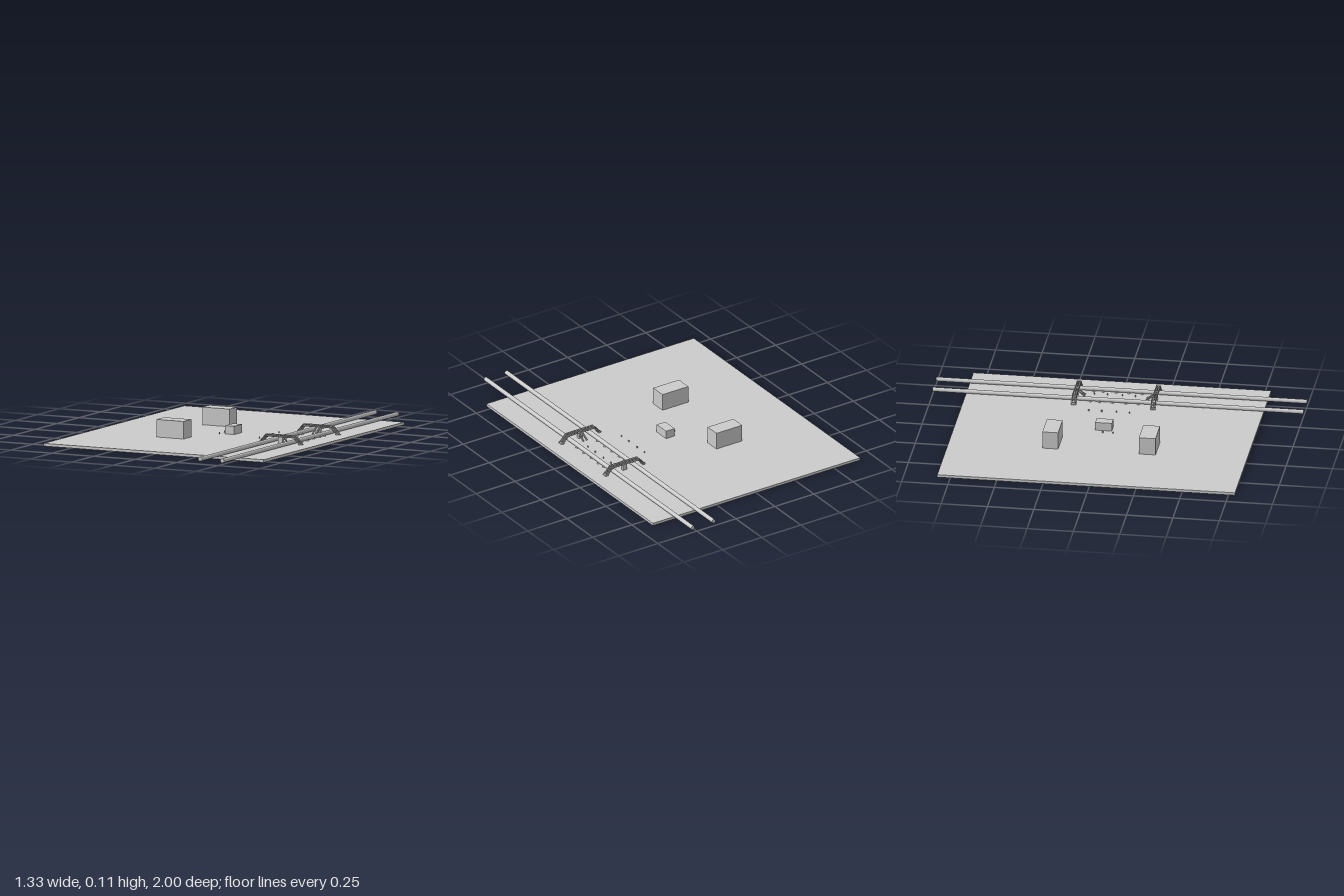
import * as THREE from 'three';

const material = new THREE.MeshStandardMaterial({ color: 0xcccccc, flatShading: true });
const smooth = new THREE.MeshStandardMaterial({ color: 0xcccccc });
const GROUND = 0.015;

function add(parent, name, geometry, x, y, z, mat = material) {
  const mesh = new THREE.Mesh(geometry, mat);
  mesh.name = name;
  mesh.position.set(x, y, z);
  parent.add(mesh);
  return mesh;
}

// Box given by its x, y and z limits
function block(parent, name, [x0, x1], [y0, y1], [z0, z1]) {
  return add(parent, name, new THREE.BoxGeometry(x1 - x0, y1 - y0, z1 - z0),
    (x0 + x1) / 2, (y0 + y1) / 2, (z0 + z1) / 2);
}

// Straight round bar between two points
function bar(parent, name, a, b, radius) {
  const dir = b.clone().sub(a);
  const mid = a.clone().add(b).multiplyScalar(0.5);
  const mesh = add(parent, name, new THREE.CylinderGeometry(radius, radius, dir.length(), 6), mid.x, mid.y, mid.z);
  mesh.quaternion.setFromUnitVectors(new THREE.Vector3(0, 1, 0), dir.normalize());
  return mesh;
}

// Lattice arch spanning both pipes: four chords joined by rungs and diagonals
function createArch(z) {
  const arch = new THREE.Group();
  arch.name = 'trussArch';
  const outer = [[-0.124, 0.019], [-0.087, 0.06], [0.087, 0.06], [0.124, 0.019]];
  const inner = [[-0.115, 0.017], [-0.082, 0.051], [0.082, 0.051], [0.115, 0.017]];
  const bays = [3, 8, 3];
  const half = 0.01;
  const at = ([x, y], side) => new THREE.Vector3(x, y, side * half);
  bays.forEach((count, s) => {
    for (const side of [-1, 1]) {
      const o0 = at(outer[s], side), o1 = at(outer[s + 1], side);
      const i0 = at(inner[s], side), i1 = at(inner[s + 1], side);
      bar(arch, 'outerChord', o0, o1, 0.0028);
      bar(arch, 'innerChord', i0, i1, 0.0028);
      for (let k = 0; k < count; k++) {
        const o = o0.clone().lerp(o1, k / count);
        const next = i0.clone().lerp(i1, (k + 1) / count);
        bar(arch, 'rung', o, i0.clone().lerp(i1, k / count), 0.0015);
        bar(arch, 'diagonal', o, next, 0.0015);
        if (side > 0) {
          const across = o.clone().setZ(-half);
          bar(arch, 'crossRung', o, across, 0.0015);
          bar(arch, 'topBrace', across, o0.clone().lerp(o1, (k + 1) / count), 0.0015);
        }
      }
    }
  });
  // Foot plates
  for (const side of [-1, 1]) {
    block(arch, 'foot', [side * 0.119 - 0.009, side * 0.119 + 0.009], [GROUND, 0.019], [-0.014, 0.014]);
  }
  // Middle post with a pair of struts leaning towards the work area
  block(arch, 'post', [-0.013, 0.013], [GROUND, 0.052], [-0.008, 0.008]);
  for (const side of [-1, 1]) {
    bar(arch, 'strut', new THREE.Vector3(side * 0.011, 0.052, 0),
      new THREE.Vector3(side * 0.011, 0.018, z > 0 ? -0.05 : 0.045), 0.004);
  }
  arch.position.set(0.455, 0, z);
  return arch;
}

export function createModel() {
  const model = new THREE.Group();
  model.name = 'siteModel';

  block(model, 'groundSlab', [-0.665, 0.662], [0, GROUND], [-0.82, 0.785]);

  // Buildings
  block(model, 'backBuilding', [-0.245, -0.08], [GROUND, 0.11], [-0.315, -0.23]);
  block(model, 'frontBuilding', [-0.245, -0.08], [GROUND, 0.11], [0.205, 0.295]);
  block(model, 'smallBuilding', [0.025, 0.08], [GROUND, 0.06], [-0.07, 0.02]);

  // Pipes, with small wedge-shaped saddles between the arches
  const saddle = new THREE.ConeGeometry(0.01, 0.018, 4);
  for (const x of [0.392, 0.525]) {
    const pipe = add(model, 'pipe', new THREE.CylinderGeometry(0.0115, 0.0115, 2, 24), x, 0.0275, 0, smooth);
    pipe.rotation.x = Math.PI / 2;
    for (const z of [0.11, 0.04, -0.03, -0.1, -0.15]) {
      for (const side of [-1, 1]) add(model, 'saddle', saddle, x + side * 0.007, GROUND + 0.009, z);
    }
  }

  model.add(createArch(0.195), createArch(-0.232));

  // Small marker posts standing in rows
  const marker = new THREE.BoxGeometry(0.004, 0.01, 0.006);
  for (const x of [0.265, 0.48]) {
    for (const z of [0.08, 0.01, -0.07, -0.14]) add(model, 'marker', marker, x, GROUND + 0.005, z);
  }
  for (const z of [0.03, -0.025]) add(model, 'marker', marker, -0.003, GROUND + 0.005, z);

  return model;
}
